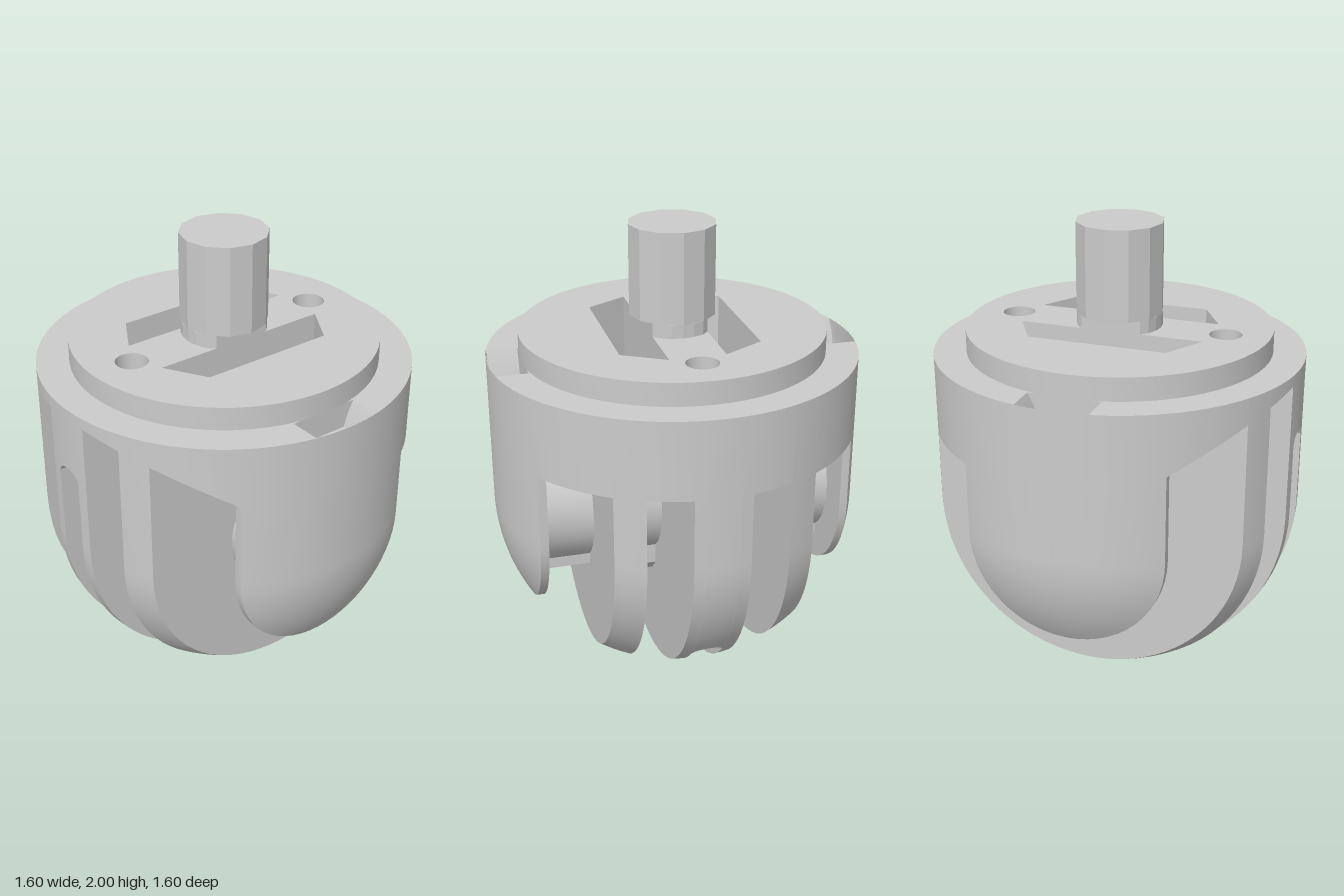
import * as THREE from 'three';
import { toCreasedNormals } from 'three/addons/utils/BufferGeometryUtils.js';

const R = 0.8, CY = 0.8, TOP = 1.45;
const material = new THREE.MeshStandardMaterial({ color: 0xcccccc });
const bodyR = x => Math.sqrt(Math.max(0, R * R - x * x));
// slot ceiling: flat at the back, sloping up towards the front
const ceil = z => Math.max(1.11, 1.185 + 0.6 * (z - 0.43));

// points [z, y] on an arc round the body centre
function arc(r, a0, a1, n = 28) {
  return Array.from({ length: n + 1 }, (_, i) => {
    const a = a0 + (a1 - a0) * i / n;
    return [r * Math.cos(a), CY + r * Math.sin(a)];
  });
}

// solid between x0 and x1 whose [z, y] outline varies with |x|
function slab(x0, x1, n, profile) {
  const a0 = Math.asin(x0 / R), a1 = Math.asin(x1 / R);
  const toV = x => profile(Math.abs(x)).map(([z, y]) => new THREE.Vector2(-z, y));
  const flip = THREE.ShapeUtils.isClockWise(toV((x0 + x1) / 2));
  const rings = [];
  for (let i = 0; i <= n; i++) {
    const x = R * Math.sin(a0 + (a1 - a0) * i / n);
    const pts = toV(x);
    if (flip) pts.reverse();
    rings.push(pts.map(p => new THREE.Vector3(x, p.y, -p.x)));
  }
  const pos = [], t = new THREE.Triangle();
  const tri = (a, b, c) => {
    t.set(a, b, c);
    if (t.getArea() > 1e-8) for (const v of [a, b, c]) pos.push(v.x, v.y, v.z);
  };
  for (let i = 0; i < n; i++) {
    const A = rings[i], B = rings[i + 1];
    A.forEach((p, j) => {
      const k = (j + 1) % A.length;
      tri(p, A[k], B[k]);
      tri(p, B[k], B[j]);
    });
  }
  for (const [ring, back] of [[rings[0], true], [rings[n], false]]) {
    const faces = THREE.ShapeUtils.triangulateShape(ring.map(v => new THREE.Vector2(-v.z, v.y)), []);
    for (const [a, b, c] of faces) back ? tri(ring[c], ring[b], ring[a]) : tri(ring[a], ring[b], ring[c]);
  }
  const g = new THREE.BufferGeometry();
  g.setAttribute('position', new THREE.Float32BufferAttribute(pos, 3));
  return toCreasedNormals(g, 0.5);
}

const uShape = x => {
  const r = bodyR(x);
  return [...arc(r, 0, -Math.PI, 40), [-r, TOP], [r, TOP]];
};

// cheek plate with wings under the rim and an optional notch in its top
const cheek = notch => x => {
  const r = bodyR(x), s = Math.min(r, 0.43);
  const cut = [[-0.155, TOP], [-0.13, 1.4], [-0.11, 1.34], [0.11, 1.34], [0.13, 1.4], [0.155, TOP]];
  const top = notch ? cut.map(([z, y]) => [THREE.MathUtils.clamp(z, -r, r), y]) : [];
  return [[r, TOP], [r, ceil(r)], [s, ceil(s)], ...arc(s, 0, -Math.PI),
    [-s, 1.11], [-r, 1.11], [-r, TOP], ...top];
};

// bore and cable groove in the middle fin
const boreZ = 0.47, boreR = 0.07;
const half = x => Math.sqrt(Math.max(0, boreR * boreR - x * x));
const floorR = x => 0.66 - half(x);

const midCore = x => {
  const w = boreZ - half(x), a = Math.acos(w / floorR(x));
  return [[w, TOP], ...arc(floorR(x), -a, a - Math.PI), [-w, TOP]];
};
const midFront = x => {
  const z = boreZ + half(x), f = floorR(x), r = bodyR(x), top = 1.12 + 0.6 * half(x);
  return [[z, TOP], [r, TOP], [r, top], [f, top], ...arc(f, 0, -Math.acos(z / f), 12)];
};
const midBack = x => {
  const z = boreZ + half(x), r = bodyR(x), end = 0.58 + 0.6 * half(x);
  return [[-z, TOP], [-z, 0.36], ...arc(r, Math.acos(end / r) - Math.PI, -Math.PI, 14), [-r, TOP]];
};

// axle outline with a keel below it
const axle = keel => () => {
  const a = Math.acos(0.16 / 0.28);
  return [...arc(0.28, -a, Math.PI + a, 24), ...keel];
};

const openZ = x => THREE.MathUtils.mapLinear(x, 0.12, 0.3, 0.405, 0.3);

export function createModel() {
  const model = new THREE.Group();
  const add = (name, geometry) => {
    const m = new THREE.Mesh(geometry, material);
    m.name = name;
    model.add(m);
  };
  const pair = (name, x0, x1, n, profile) => {
    add(name + 'Left', slab(x0, x1, n, profile));
    add(name + 'Right', slab(-x1, -x0, n, profile));
  };

  // middle fin
  add('middleFinCore', slab(-0.07, 0.07, 10, midCore));
  add('middleFinFront', slab(-0.07, 0.07, 10, midFront));
  add('middleFinBack', slab(-0.07, 0.07, 10, midBack));
  pair('middleFinSide', 0.07, 0.12, 2, uShape);

  // side fins and cheek plates
  pair('sideFin', 0.3, 0.42, 4, uShape);
  pair('cheekInner', 0.64, 0.65, 1, cheek(false));
  pair('cheekEdge', 0.65, 0.675, 2, cheek(true));
  pair('cheek', 0.675, 0.8, 14, cheek(true));

  // rim above the slots
  pair('innerRimFront', 0.12, 0.3, 6, x => {
    const r = bodyR(x), h = openZ(x);
    return [[r, TOP], [h, TOP], [h, ceil(h)], [r, ceil(r)]];
  });
  pair('innerRimBack', 0.12, 0.3, 6, x => {
    const r = bodyR(x), h = openZ(x);
    return [[-r, TOP], [-h, TOP], [-h, 1.11], [-r, 1.11]];
  });
  pair('outerRim', 0.42, 0.64, 8, x => {
    const r = bodyR(x);
    return [[r, TOP], [-r, TOP], [-r, 1.11], [0.305, 1.11], [r, ceil(r)]];
  });

  // axle pieces seen in the slots
  pair('innerAxle', 0.12, 0.3, 1, axle([[-0.16, 0.48], [-0.1, 0.42], [0.1, 0.42], [0.16, 0.48]]));
  pair('outerAxle', 0.42, 0.64, 1, axle([[-0.16, 0.52], [0.16, 0.52]]));

  // top disc with two slots and two bores
  const disc = new THREE.Shape().absarc(0, 0, 0.66, 0, Math.PI * 2);
  for (const s of [-1, 1]) {
    disc.holes.push(new THREE.Path([[0.12, -0.405], [0.3, -0.3], [0.3, 0.3], [0.12, 0.405]]
      .map(([x, z]) => new THREE.Vector2(s * x, z))));
    disc.holes.push(new THREE.Path(Array.from({ length: 20 }, (_, i) => {
      const a = i / 20 * Math.PI * 2;
      return new THREE.Vector2(boreR * Math.cos(a), s * boreZ + boreR * Math.sin(a));
    })));
  }
  const discGeo = new THREE.ExtrudeGeometry(disc, { depth: 0.1, bevelEnabled: false, curveSegments: 32 });
  discGeo.rotateX(-Math.PI / 2).translate(0, TOP, 0);
  add('topDisc', toCreasedNormals(discGeo, 0.5));

  // shaft, with a neck narrowed between the slots
  const shaft = new THREE.CylinderGeometry(0.188, 0.188, 0.39, 12).translate(0, 1.805, 0);
  add('shaft', toCreasedNormals(shaft, 0.3));
  const neckShape = new THREE.Shape(Array.from({ length: 24 }, (_, i) => {
    const a = i / 24 * Math.PI * 2;
    return new THREE.Vector2(THREE.MathUtils.clamp(0.185 * Math.cos(a), -0.12, 0.12), 0.185 * Math.sin(a));
  }));
  const neck = new THREE.ExtrudeGeometry(neckShape, { depth: 0.06, bevelEnabled: false });
  add('shaftNeck', neck.rotateX(-Math.PI / 2).translate(0, 1.55, 0));

  return model;
}
